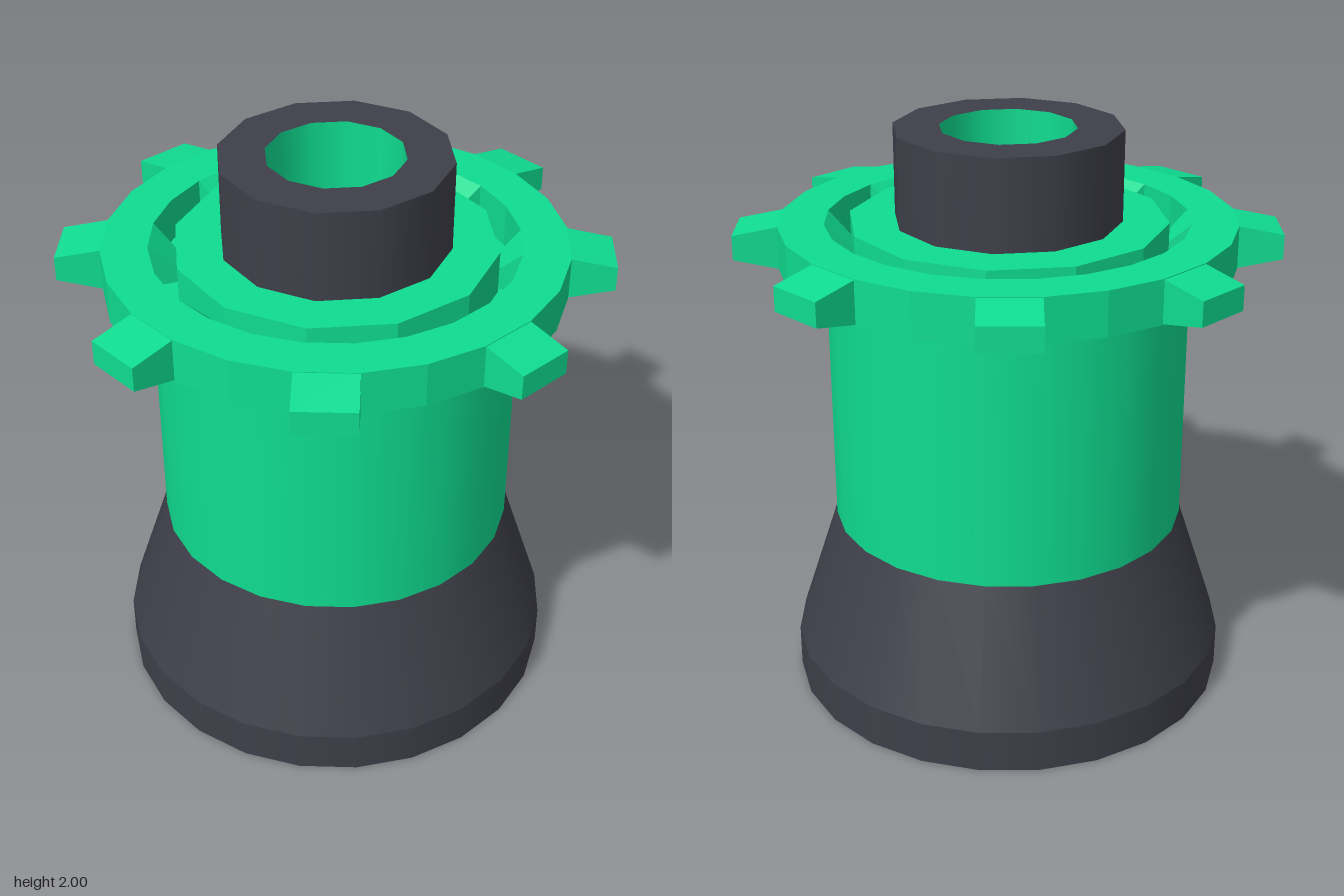
import * as THREE from 'three';
import { mergeGeometries } from 'three/addons/utils/BufferGeometryUtils.js';

const green = new THREE.MeshStandardMaterial({ color: 0x0fdc90 });
const greenFlat = new THREE.MeshStandardMaterial({ color: 0x0fdc90, flatShading: true });
const dark = new THREE.MeshStandardMaterial({ color: 0x3e3f49 });

// Revolve [r, y] points; each profile segment is its own band, so rims stay sharp
function turned(name, points, sides, material) {
  const bands = [];
  for (let i = 0; i < points.length - 1; i++) {
    const pair = [points[i], points[i + 1]].map(([r, y]) => new THREE.Vector2(r, y));
    bands.push(new THREE.LatheGeometry(pair, sides));
  }
  const mesh = new THREE.Mesh(mergeGeometries(bands), material);
  mesh.name = name;
  return mesh;
}

// Tapered block between two radii; each end gives radius, half width, bottom and top
function toothGeometry(inner, outer) {
  const geometry = new THREE.BoxGeometry(1, 1, 1);
  const p = geometry.attributes.position;
  for (let i = 0; i < p.count; i++) {
    const end = p.getZ(i) > 0 ? outer : inner;
    p.setXYZ(i, Math.sign(p.getX(i)) * end.half, p.getY(i) > 0 ? end.top : end.bottom, end.r);
  }
  geometry.computeVertexNormals();
  return geometry;
}

// Eight copies around the axis, each centred on a side of the 24-sided ring
function toothRing(name, geometry) {
  const group = new THREE.Group();
  group.name = name;
  for (let i = 0; i < 8; i++) {
    const tooth = new THREE.Mesh(geometry, greenFlat);
    tooth.name = name + 'Tooth';
    tooth.rotation.y = ((i + 0.5) * Math.PI) / 4;
    group.add(tooth);
  }
  return group;
}

export function createModel() {
  const model = new THREE.Group();
  model.name = 'toothedSleeve';

  // Flared foot
  model.add(turned('base', [[0.46, 0], [0.77, 0], [0.77, 0.15], [0.615, 0.62]], 24, dark));

  // Barrel with its wide bore; its top is the floor of the groove
  model.add(turned('body', [[0.615, 0.62], [0.615, 1.54], [0.5, 1.54]], 24, green));
  model.add(turned('lowerBore', [[0.23, 1.5], [0.46, 1.5], [0.46, 0]].slice(1), 24, green));
  model.add(turned('boreCeiling', [[0.23, 1.5], [0.47, 1.5]], 12, green));

  // Gear ring around the top of the barrel
  model.add(turned('gearRing',
    [[0.615, 1.54], [0.77, 1.54], [0.77, 1.69], [0.615, 1.69], [0.615, 1.54]], 24, greenFlat));
  model.add(toothRing('outer', toothGeometry(
    { r: 0.75, half: 0.1, bottom: 1.54, top: 1.69 },
    { r: 0.915, half: 0.1, bottom: 1.573, top: 1.657 })));
  model.add(toothRing('inner', toothGeometry(
    { r: 0.52, half: 0.043, bottom: 1.54, top: 1.6 },
    { r: 0.61, half: 0.08, bottom: 1.54, top: 1.69 })));

  // Inner disc, neck and narrow bore
  model.add(turned('innerDisc', [[0.54, 1.54], [0.54, 1.69], [0.38, 1.69]], 12, greenFlat));
  model.add(turned('neck', [[0.385, 1.69], [0.385, 2], [0.23, 2]], 12, dark));
  model.add(turned('upperBore', [[0.23, 2], [0.23, 1.5]], 12, green));

  return model;
}
